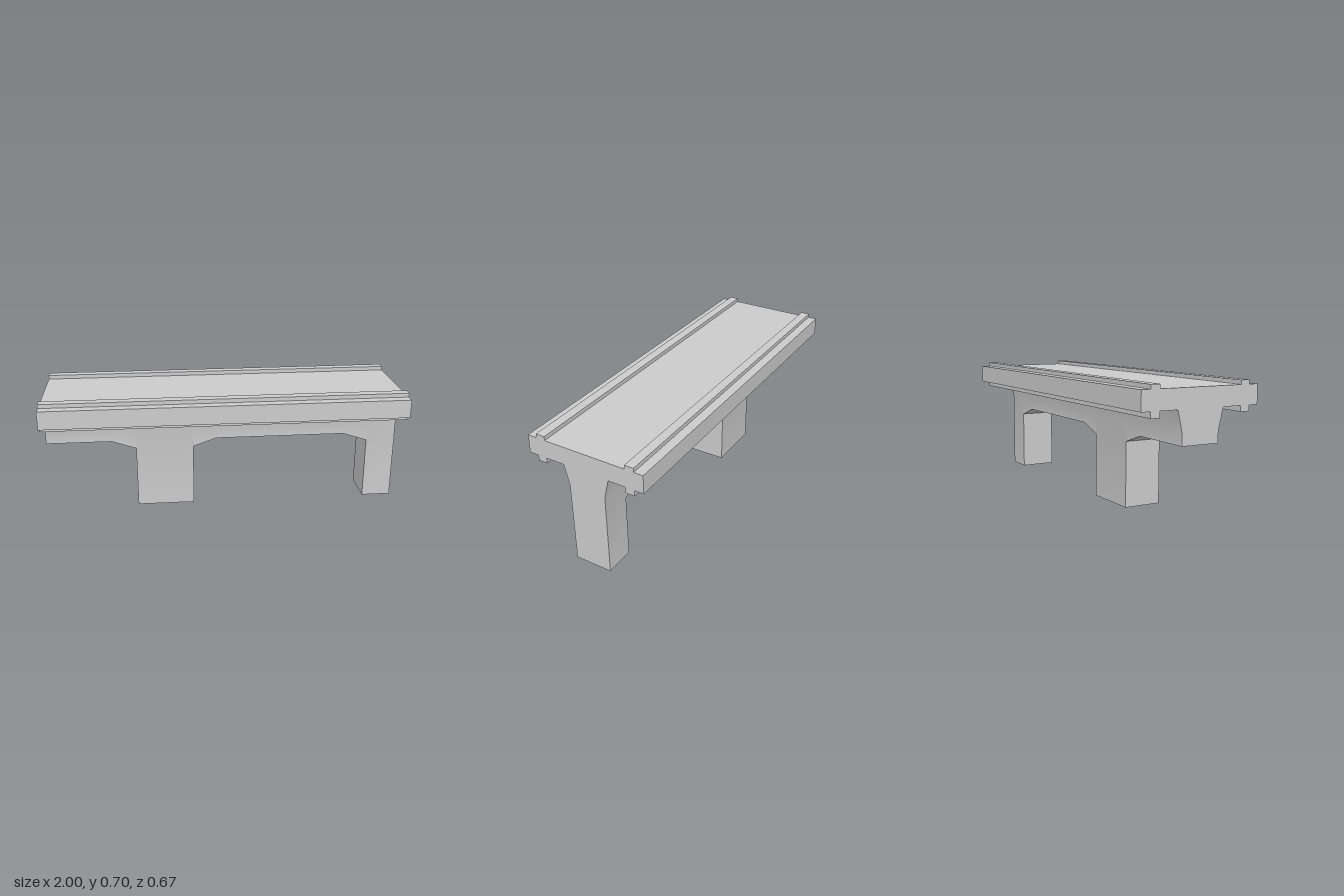
import * as THREE from 'three';
import { toCreasedNormals } from 'three/addons/utils/BufferGeometryUtils.js';

const material = new THREE.MeshStandardMaterial({ color: 0xcccccc });

// Slab with a raised curb and a hanging rib along each edge, extruded along x
function createDeck() {
  const outline = [
    [-0.335, 0.573], [-0.283, 0.573], [-0.283, 0.543], [-0.232, 0.543], [-0.232, 0.573],
    [0.233, 0.573], [0.233, 0.541], [0.284, 0.541], [0.284, 0.573], [0.335, 0.573],
    [0.335, 0.675], [0.284, 0.675], [0.284, 0.697], [0.233, 0.697], [0.233, 0.675],
    [-0.232, 0.675], [-0.232, 0.697], [-0.283, 0.697], [-0.283, 0.675], [-0.335, 0.675],
  ];
  const shape = new THREE.Shape(outline.map(([x, y]) => new THREE.Vector2(x, y)));
  const geometry = new THREE.ExtrudeGeometry(shape, { depth: 2, bevelEnabled: false });
  geometry.translate(0, 0, -1).rotateY(Math.PI / 2);
  const mesh = new THREE.Mesh(geometry, material);
  mesh.name = 'deck';
  return mesh;
}

// Flared web, haunches and piers: one section lofted through [x, underside y] stations
function createGirderAndPiers() {
  const stations = [
    [-1, 0.4], [-0.637, 0.4], [-0.5, 0.354], [-0.5, 0], [-0.175, 0], [-0.175, 0.354],
    [-0.043, 0.4], [0.695, 0.4], [0.834, 0.354], [0.834, 0], [1, 0],
  ];
  const rings = stations.map(([x, bottom]) => [
    [x, 0.573, 0.127], [x, 0.461, 0.1], [x, bottom, 0.1],
    [x, bottom, -0.109], [x, 0.461, -0.109], [x, 0.573, -0.135],
  ]);
  const positions = [];
  const quad = (a, b, c, d) => positions.push(...a, ...b, ...c, ...a, ...c, ...d);

  for (let i = 0; i < rings.length - 1; i++) {
    const a = rings[i], b = rings[i + 1];
    const pierWall = stations[i][0] === stations[i + 1][0];
    for (let j = 0; j < 5; j++) {
      // where two stations share an x, only the underside strip has area
      if (!pierWall || j === 2) quad(a[j + 1], b[j + 1], b[j], a[j]);
    }
  }

  // End faces
  const s = rings[0], e = rings[rings.length - 1];
  quad(e[0], e[1], e[4], e[5]);
  quad(e[1], e[2], e[3], e[4]);
  quad(s[5], s[4], s[1], s[0]);
  quad(s[4], s[3], s[2], s[1]);

  const geometry = new THREE.BufferGeometry();
  geometry.setAttribute('position', new THREE.Float32BufferAttribute(positions, 3));
  const mesh = new THREE.Mesh(toCreasedNormals(geometry, 0.3), material);
  mesh.name = 'girderAndPiers';
  return mesh;
}

export function createModel() {
  const bridge = new THREE.Group();
  bridge.name = 'bridgeSection';
  bridge.add(createDeck(), createGirderAndPiers());
  return bridge;
}
